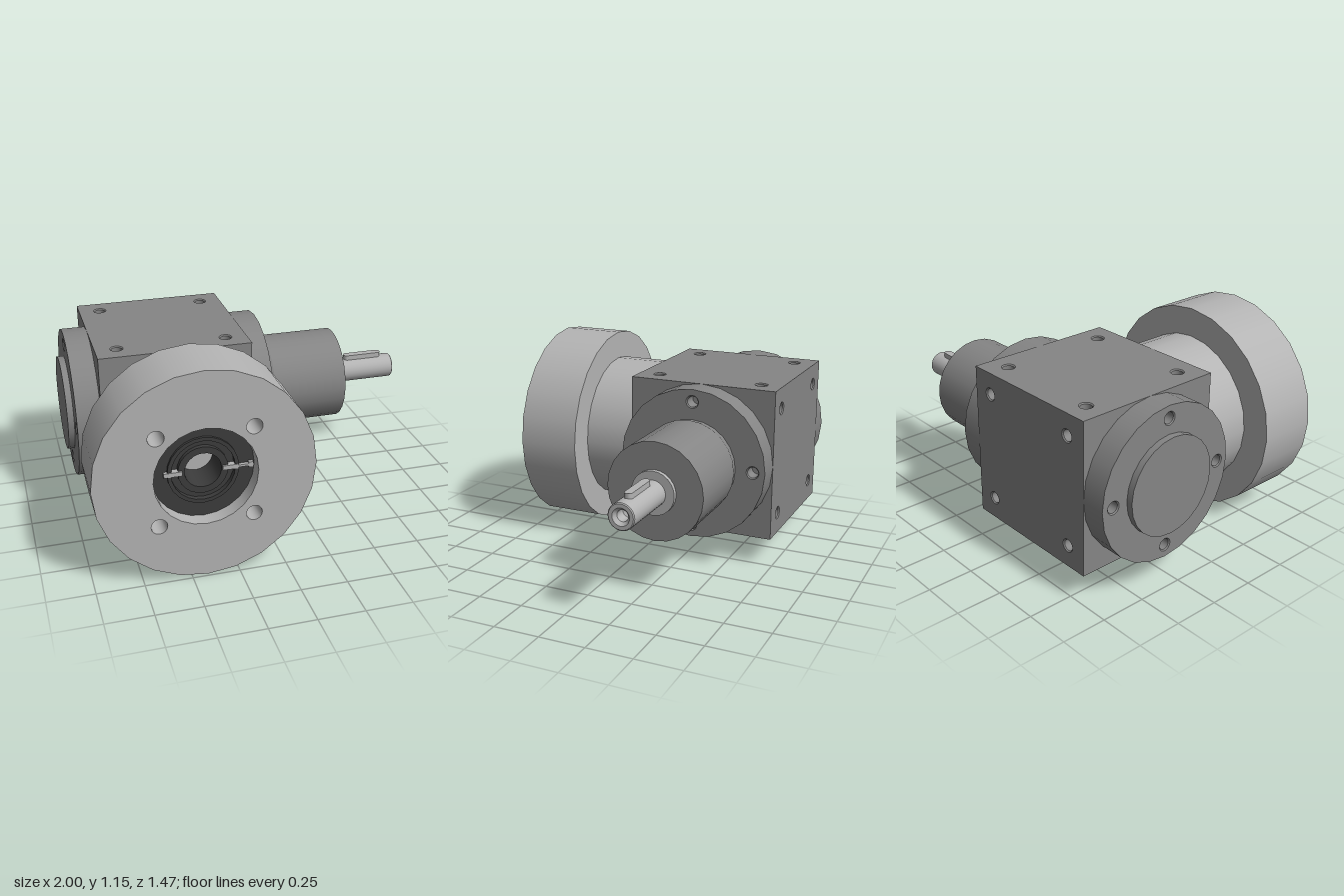
import * as THREE from 'three';
import { mergeGeometries } from 'three/addons/utils/BufferGeometryUtils.js';

const paint = (color) => new THREE.MeshStandardMaterial({ color });
const castGrey = paint(0x858585);
const steel = paint(0xb4b4b4);
const black = paint(0x3c3c3c);
const H = 0.418; // half size of the cubic housing

// Turned part around +y: smooth around the axis, sharp between profile points
function turned(profile, segments = 24) {
  const bands = [];
  for (let i = 0; i + 1 < profile.length; i++) {
    const pair = [profile[i], profile[i + 1]].map(([r, y]) => new THREE.Vector2(r, y));
    bands.push(new THREE.LatheGeometry(pair, segments));
  }
  return mergeGeometries(bands);
}

// Flat face looking along +z with blind holes (countersunk to the inner radius) drilled into it
function drilled(outline, holes, radius, inner, depth, z) {
  const parts = [];
  for (const [x, y] of holes) {
    outline.holes.push(new THREE.Path().absarc(x, y, radius, 0, Math.PI * 2, true));
    const cup = turned([[radius, 0], [inner, inner - radius], [inner, -depth], [0, -depth]]);
    parts.push(cup.rotateX(Math.PI / 2).translate(x, y, z));
  }
  parts.unshift(new THREE.ShapeGeometry(outline, 12).translate(0, 0, z));
  return mergeGeometries(parts);
}

const disc = (r) => new THREE.Shape().absarc(0, 0, r, 0, Math.PI * 2, false);
const square = (h) => new THREE.Shape([[-h, -h], [h, -h], [h, h], [-h, h]].map(([x, y]) => new THREE.Vector2(x, y)));
const corners = (d) => [[d, d], [-d, d], [-d, -d], [d, -d]];
const cross = (d) => [[d, 0], [0, d], [-d, 0], [0, -d]];

export function createModel() {
  const model = new THREE.Group();
  model.name = 'rightAngleGearbox';
  const body = new THREE.Group();
  body.name = 'gearbox';
  body.position.set(-0.415, 0.575, -0.318);
  model.add(body);

  const add = (name, material, geometry, parent = body) => {
    const mesh = new THREE.Mesh(geometry, material);
    mesh.name = name;
    parent.add(mesh);
  };

  // Cubic housing: drilled top, bottom and back, plain remaining faces
  const faces = [
    [0, 0, false], [0, Math.PI, true], [0, Math.PI / 2, false],
    [0, -Math.PI / 2, false], [Math.PI / 2, 0, true], [-Math.PI / 2, 0, true],
  ];
  add('housing', castGrey, mergeGeometries(faces.map(([rx, ry, holes]) =>
    drilled(square(H), holes ? corners(0.3) : [], 0.036, 0.03, 0.08, H).rotateX(rx).rotateY(ry))));

  // Bearing flanges on both sides, each with four screw holes
  for (const side of [1, -1]) {
    const group = new THREE.Group();
    group.name = side > 0 ? 'leftBearingFlange' : 'rightBearingFlange';
    group.rotation.y = side * Math.PI / 2;
    body.add(group);
    add('flangeFace', castGrey, drilled(disc(0.418), cross(0.349), 0.036, 0.03, 0.08, 0.55), group);
    add('flangeRim', castGrey, turned([[0.418, 0.41], [0.418, 0.55]]).rotateX(Math.PI / 2), group);
  }
  add('endCap', castGrey, turned([[0, 0.54], [0.265, 0.54], [0.265, 0.585], [0, 0.585]]).rotateZ(Math.PI / 2));

  // Output side: hub, seal collar, shaft with centre hole, and key
  const toX = -Math.PI / 2;
  add('outputHub', castGrey, turned([[0.252, 0.54], [0.252, 0.57], [0.264, 0.605], [0.264, 1.033],
    [0, 1.033]]).rotateZ(toX));
  add('sealCollar', steel, turned([[0.118, 1.02], [0.118, 1.057], [0, 1.057]]).rotateZ(toX));
  add('outputShaft', steel, turned([[0.071, 1.05], [0.071, 1.41], [0.066, 1.415], [0.046, 1.415],
    [0.03, 1.395], [0.03, 1.33], [0, 1.31]]).rotateZ(toX));
  const keyShape = new THREE.Shape();
  keyShape.absarc(1.328, 0, 0.022, -Math.PI / 2, Math.PI / 2, false);
  keyShape.absarc(1.137, 0, 0.022, Math.PI / 2, Math.PI * 1.5, false);
  add('shaftKey', steel, new THREE.ExtrudeGeometry(keyShape, { depth: 0.06, bevelEnabled: false, curveSegments: 6 })
    .rotateX(-Math.PI / 2).translate(0, 0.036, 0));

  // Input side: neck and large motor flange with a bore
  add('inputNeck', steel, turned([[0.417, 0.41], [0.417, 0.72]]).rotateX(Math.PI / 2));
  const face = disc(0.573);
  face.holes.push(new THREE.Path().absarc(0, 0, 0.268, 0, Math.PI * 2, true));
  add('motorFlangeFace', steel, drilled(face, corners(0.246), 0.042, 0.042, 0.15, 1.053));
  add('motorFlangeBody', steel, turned([[0.41, 0.708], [0.573, 0.708], [0.573, 1.053]]).rotateX(Math.PI / 2));
  add('motorFlangeBore', steel, turned([[0.268, 1.053], [0.268, 0.97]]).rotateX(Math.PI / 2));

  // Dark clamping hub in the bore, around the bright end of the input socket
  add('clampHub', black, turned([[0.268, 0.97], [0.185, 0.97], [0.185, 0.985], [0.165, 0.985], [0.165, 0.955],
    [0.13, 0.955], [0.13, 0.98], [0.095, 0.98], [0.095, 0.8]]).rotateX(Math.PI / 2));
  add('inputSocket', steel, turned([[0.095, 0.8], [0, 0.8]]).rotateX(Math.PI / 2));

  // Clamp slit bars and the clamp screw
  for (const [x, width, height] of [[-0.155, 0.095, 0.024], [0.14, 0.08, 0.024], [0.22, 0.08, 0.012], [0.247, 0.024, 0.03]]) {
    add('clampBar', steel, new THREE.BoxGeometry(width, height, 0.05).translate(x, 0, 0.965));
  }
  return model;
}
